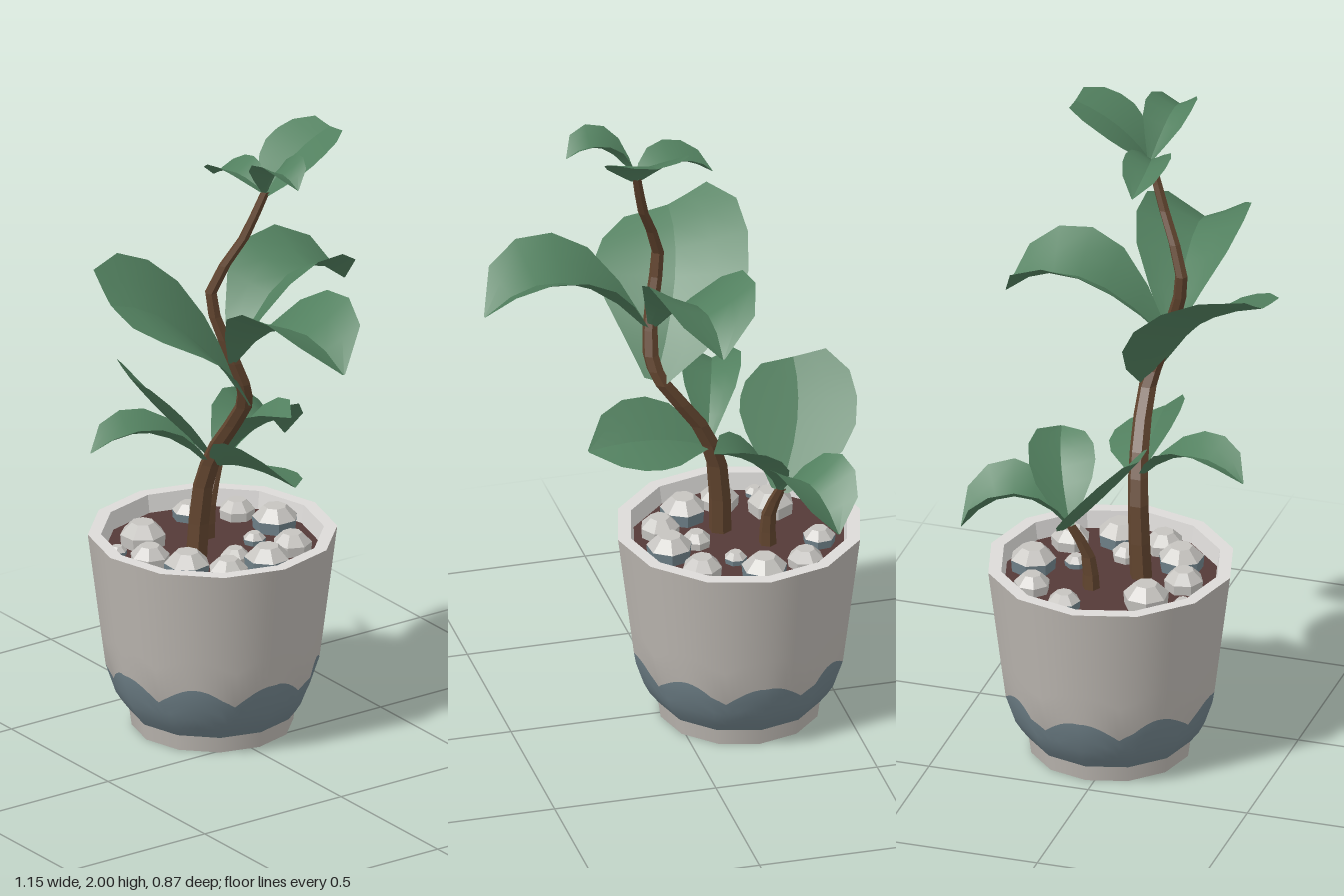
import * as THREE from 'three';

const V = (x, y, z) => new THREE.Vector3(x, y, z);
const material = (name, color, side = THREE.FrontSide) => {
  const m = new THREE.MeshStandardMaterial({ color, side });
  m.name = name;
  return m;
};

// Surface through rows of points, counter-clockwise when rows run upward
function grid(rows) {
  const n = rows[0].length, index = [];
  for (let i = 0; i < rows.length - 1; i++)
    for (let j = 0; j < n - 1; j++) {
      const a = i * n + j, b = a + 1, c = a + n, d = c + 1;
      index.push(a, b, c, b, d, c);
    }
  const g = new THREE.BufferGeometry().setFromPoints(rows.flat());
  g.setIndex(index);
  g.computeVertexNormals();
  return g;
}

function faceted(g) {
  const flat = g.toNonIndexed();
  flat.computeVertexNormals();
  return flat;
}

// Pot outline: radius at a given height
const outline = [[0.05, 0.25], [0.1, 0.288], [0.2, 0.322], [0.62, 0.375]];
function potRadius(y) {
  let k = 0;
  while (k < outline.length - 2 && y > outline[k + 1][0]) k++;
  const [y0, r0] = outline[k], [y1, r1] = outline[k + 1];
  return r0 + (r1 - r0) * (y - y0) / (y1 - y0);
}

// Twelve-sided wall between two height functions, with round normals
function potWall(low, high, steps) {
  const rows = [], normals = [], segs = 96, step = Math.PI / 6;
  for (let i = 0; i <= steps; i++) {
    const row = [];
    for (let j = 0; j <= segs; j++) {
      const a = j / segs * Math.PI * 2;
      const y = low(a) + (high(a) - low(a)) * i / steps;
      const r = potRadius(y) * Math.cos(step / 2) / Math.cos((a % step) - step / 2);
      row.push(V(Math.sin(a) * r, y, Math.cos(a) * r));
      const slope = (potRadius(y + 0.04) - potRadius(y - 0.04)) / 0.08;
      normals.push(...V(Math.sin(a), -slope, Math.cos(a)).normalize().toArray());
    }
    rows.push(row);
  }
  const g = grid(rows);
  g.setAttribute('normal', new THREE.Float32BufferAttribute(normals, 3));
  return g;
}

// Tapered six-sided stem along a path
function stemGeometry(points, r0, r1) {
  const curve = new THREE.CatmullRomCurve3(points), rows = [], steps = points.length * 2 - 2;
  for (let i = 0; i <= steps; i++) {
    const t = i / steps, p = curve.getPoint(t), r = r0 + (r1 - r0) * t;
    const row = [];
    for (let j = 0; j <= 6; j++) {
      const a = j / 6 * Math.PI * 2;
      row.push(V(p.x + Math.sin(a) * r, p.y, p.z + Math.cos(a) * r));
    }
    rows.push(row);
  }
  return faceted(grid(rows));
}

const pointed = [0.1, 0.5, 0.85, 1, 0.97, 0.72, 0.03];
const blunt = [0.15, 0.55, 0.85, 1, 1, 0.9, 0.57];

// Leaf blade: two smooth halves meeting at the midrib, which passes base, mid and tip
function leafHalves(base, mid, tip, halfWidth, side, fold, shape) {
  const ctrl = mid.clone().multiplyScalar(2).addScaledVector(base, -0.5).addScaledVector(tip, -0.5);
  const rib = new THREE.QuadraticBezierCurve3(base, ctrl, tip);
  return [-1, 1].map((s) => grid(shape.map((w, i) => {
    const t = i / (shape.length - 1), p = rib.getPoint(t), dir = rib.getTangent(t);
    const across = side.clone().addScaledVector(dir, -side.dot(dir)).normalize();
    const up = across.clone().cross(dir).normalize();
    if (up.y < 0) up.negate();
    return [0, 0.5, 1].map((k) => p.clone()
      .addScaledVector(across, s * k * w * halfWidth)
      .addScaledVector(up, fold * Math.pow(k, 1.2) * w * halfWidth));
  })));
}

export function createModel() {
  const ceramic = material('ceramic', 0xbdb8b2);
  const paleCeramic = material('pale rim', 0xdcdad8);
  const glaze = material('blue glaze', 0x70828a);
  const earth = material('soil', 0x553a38);
  const bark = material('bark', 0x62452f);
  const green = material('leaf green', 0x52805f, THREE.DoubleSide);
  const pebbleGrey = material('pebble grey', 0xc6c4c0);

  const model = new THREE.Group();
  model.name = 'pottedPlant';
  const add = (parent, name, geometry, mat, x = 0, y = 0, z = 0) => {
    const mesh = new THREE.Mesh(geometry, mat);
    mesh.name = name;
    mesh.position.set(x, y, z);
    parent.add(mesh);
  };

  // Pot with a scalloped glaze band
  const pot = new THREE.Group();
  pot.name = 'pot';
  pot.position.set(-0.2, 0, -0.025);
  model.add(pot);
  const wave = (a) => 0.168 + 0.06 * Math.abs(Math.cos(4 * a));
  add(pot, 'potFoot', new THREE.CylinderGeometry(0.25, 0.243, 0.05, 12), ceramic, 0, 0.025, 0);
  add(pot, 'glazeBand', potWall(() => 0.05, wave, 5), glaze);
  add(pot, 'potWall', potWall(wave, () => 0.62, 4), ceramic);
  const rim = [[0.375, 0.62], [0.335, 0.62], [0.325, 0.56]].map(([r, y]) => new THREE.Vector2(r, y));
  add(pot, 'potRim', faceted(new THREE.LatheGeometry(rim, 12)), paleCeramic);
  add(pot, 'soil', new THREE.CircleGeometry(0.327, 12).rotateX(-Math.PI / 2), earth, 0, 0.565, 0);

  // Faceted pebbles scattered round the soil: angle, distance, radius
  const pebbles = [
    [0, 0.23, 0.06], [0.6, 0.22, 0.07], [1.15, 0.24, 0.06], [1.75, 0.23, 0.07], [2.4, 0.24, 0.06],
    [3.2, 0.24, 0.07], [3.8, 0.25, 0.055], [4.4, 0.24, 0.05], [5.55, 0.21, 0.07], [5.86, 0.29, 0.03],
    [1.5, 0.13, 0.045], [2.8, 0.13, 0.035],
  ];
  pebbles.forEach(([a, d, r], i) => {
    const stone = new THREE.Group();
    stone.name = 'pebble';
    stone.position.set(Math.sin(a) * d, 0.56, Math.cos(a) * d);
    stone.rotation.y = i * 1.3;
    pot.add(stone);
    const h = r * 0.6;
    add(stone, 'pebbleBase', faceted(new THREE.CylinderGeometry(r, r * 0.95, h, 7, 1, true)),
      i % 2 ? glaze : pebbleGrey, 0, h / 2, 0);
    add(stone, 'pebbleTop', faceted(new THREE.CylinderGeometry(r * 0.5, r, h * 0.85, 7)),
      pebbleGrey, 0, h * 1.425, 0);
  });

  // Stems
  add(model, 'tallStem', stemGeometry([
    V(-0.165, 0.55, 0.06), V(-0.15, 0.8, 0.045), V(-0.09, 0.95, 0.03), V(0.025, 1.11, 0.02),
    V(0.055, 1.2, 0.045), V(0.035, 1.35, 0.1), V(0.01, 1.5, 0.13), V(0.075, 1.68, 0.055), V(0.11, 1.83, 0),
  ], 0.035, 0.014), bark);
  add(model, 'shortStem', stemGeometry([
    V(-0.28, 0.55, -0.06), V(-0.28, 0.67, -0.07), V(-0.305, 0.78, -0.12),
  ], 0.028, 0.016), bark);

  // Leaves: name, base, mid, tip, half width, width direction, fold, shape
  const X = V(1, 0, 0), Z = V(0, 0, 1);
  const leaves = [
    ['shortStemBackLeaf', V(-0.305, 0.77, -0.12), V(-0.35, 0.87, -0.28), V(-0.4, 0.77, -0.43), 0.115, V(1, 0, -0.3), 0.6, pointed],
    ['shortStemFrontLeaf', V(-0.3, 0.77, -0.12), V(-0.39, 0.93, 0.01), V(-0.41, 1.08, 0.13), 0.175, V(1, 0, 0.2), 0.15, blunt],
    ['shortStemSideLeaf', V(-0.3, 0.77, -0.12), V(-0.2, 0.91, -0.18), V(-0.07, 0.98, -0.22), 0.1, V(0.4, 0, 1), 0.5, pointed],
    ['lowFrontLeaf', V(-0.12, 0.87, 0.04), V(-0.18, 1.0, 0.22), V(-0.23, 0.96, 0.4), 0.09, V(1, 0, 0.3), 0.5, pointed],
    ['lowSideLeaf', V(-0.12, 0.87, 0.03), V(0.06, 0.92, 0.02), V(0.26, 0.92, 0.0), 0.13, V(0, 0.6, 1), 0.3, pointed],
    ['middleFrontLeaf', V(0.045, 1.12, 0.02), V(-0.06, 1.37, 0.19), V(-0.1, 1.49, 0.42), 0.235, V(0.9, -0.36, 0.12), 0.18, blunt],
    ['middleSideLeaf', V(0.06, 1.27, 0.08), V(0.32, 1.47, 0.065), V(0.57, 1.4, 0.04), 0.165, Z, 0.5, pointed],
    ['middleBackLeaf', V(0.04, 1.27, 0.07), V(-0.03, 1.47, -0.18), V(-0.05, 1.4, -0.4), 0.155, X, 0.55, pointed],
    ['topBackLeaf', V(0.11, 1.82, 0), V(0.11, 1.92, -0.1), V(0.11, 1.985, -0.235), 0.125, X, 0.15, blunt],
    ['topLeftLeaf', V(0.11, 1.82, 0), V(0.21, 1.93, 0.03), V(0.32, 1.91, 0.03), 0.075, Z, 0.55, pointed],
    ['topRightLeaf', V(0.11, 1.82, 0), V(0, 1.86, 0.03), V(-0.13, 1.81, 0.02), 0.07, Z, 0.5, pointed],
  ];
  for (const [name, ...spec] of leaves) {
    const leaf = new THREE.Group();
    leaf.name = name;
    leafHalves(...spec).forEach((g) => add(leaf, 'bladeHalf', g, green));
    model.add(leaf);
  }
  return model;
}
